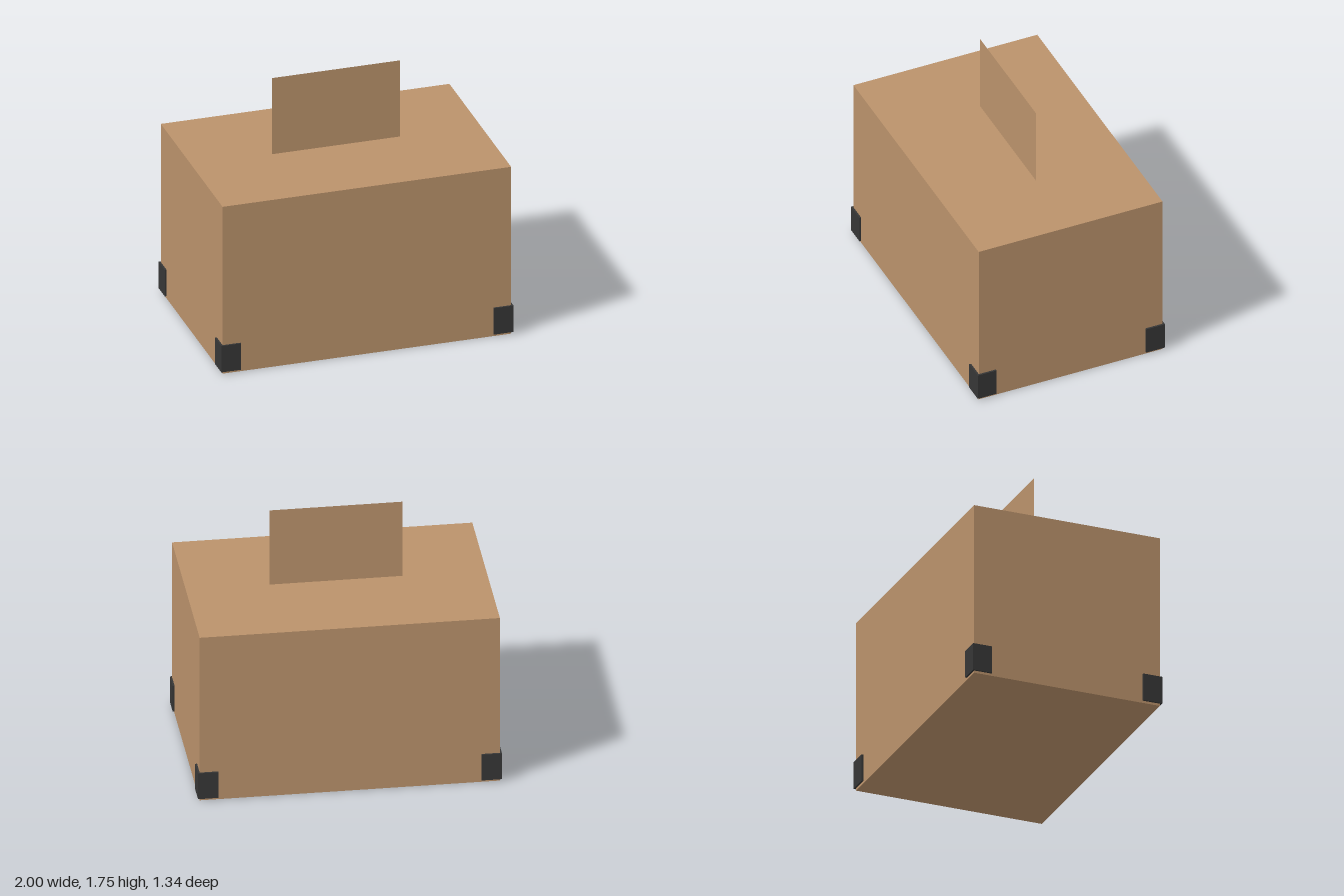
import * as THREE from 'three';

export function createModel() {
  const model = new THREE.Group();
  const card = new THREE.MeshStandardMaterial({ color: 0xba926b });
  const cardSheet = new THREE.MeshStandardMaterial({ color: 0xba926b, side: THREE.DoubleSide });
  const dark = new THREE.MeshStandardMaterial({ color: 0x363636 });

  const add = (name, geometry, material, x, y, z) => {
    const mesh = new THREE.Mesh(geometry, material);
    mesh.name = name;
    mesh.position.set(x, y, z);
    model.add(mesh);
  };

  // Closed crate body
  const width = 1.975, height = 1.205, depth = 1.315;
  add('body', new THREE.BoxGeometry(width, height, depth), card, 0, height / 2, 0);

  // Thin upright sheet standing on the middle of the lid
  const sheetHeight = 0.55;
  add('uprightPanel', new THREE.PlaneGeometry(0.875, sheetHeight), cardSheet, 0, height + sheetHeight / 2, 0);

  // L-shaped guards wrapped around the four bottom corners
  const outerX = 1, outerZ = 0.67, arm = 0.135, thick = 0.0165;
  const profile = [[0, 0], [arm, 0], [arm, thick], [thick, thick], [thick, arm], [0, arm]];
  for (const sx of [-1, 1]) {
    for (const sz of [-1, 1]) {
      const shape = new THREE.Shape(
        profile.map(([a, b]) => new THREE.Vector2(sx * (outerX - a), -sz * (outerZ - b)))
      );
      const guard = new THREE.ExtrudeGeometry(shape, { depth: 0.19, bevelEnabled: false });
      guard.rotateX(-Math.PI / 2);
      add(`${sz > 0 ? 'front' : 'back'}${sx > 0 ? 'Left' : 'Right'}CornerGuard`, guard, dark, 0, 0.016, 0);
    }
  }
  return model;
}
